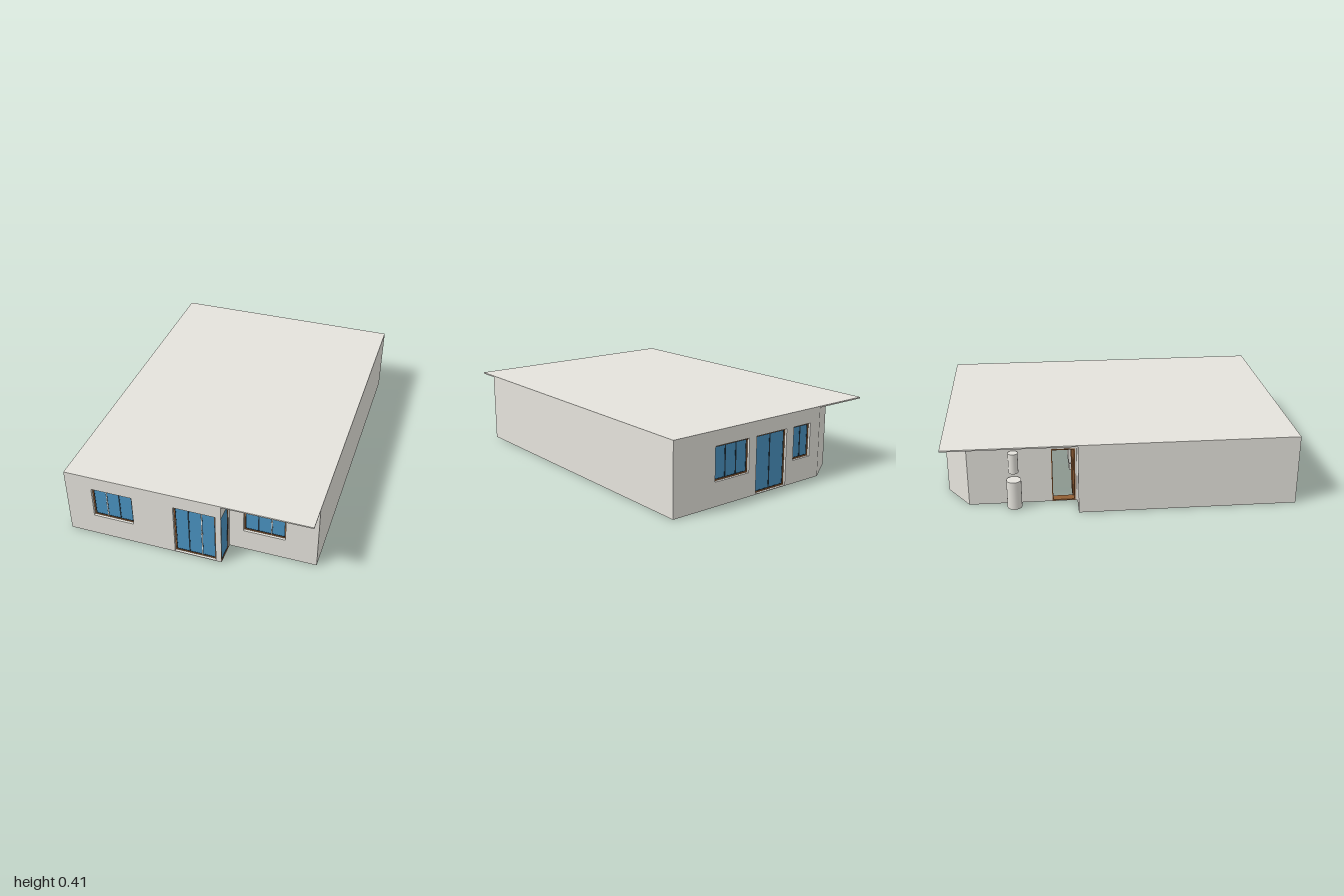
import * as THREE from 'three';

const mat = (name, color) => {
  const m = new THREE.MeshStandardMaterial({ color });
  m.name = name;
  return m;
};

export function createModel() {
  const house = new THREE.Group();
  house.name = 'house';
  const plaster = mat('plaster', 0xe5e3dc);
  const wood = mat('wood', 0x925f35);
  const glass = mat('blue glass', 0x4a92c0);
  const dark = mat('dark sash', 0x20323e);
  const white = mat('white', 0xf0f2f0);
  const red = mat('red', 0xb8432a);
  const H = 0.407;

  const box = (parent, name, m, w, h, d, x, y, z) => {
    const mesh = new THREE.Mesh(new THREE.BoxGeometry(w, h, d), m);
    mesh.name = name;
    mesh.position.set(x, y, z);
    parent.add(mesh);
  };
  const rect = (P, x0, y0, x1, y1) => {
    const p = new P();
    p.moveTo(x0, y0);
    p.lineTo(x1, y0);
    p.lineTo(x1, y1);
    p.lineTo(x0, y1);
    p.closePath();
    return p;
  };
  // Rectangular ring of bar width b, its back at z
  const ring = (parent, name, m, x0, y0, x1, y1, b, d, z) => {
    const s = rect(THREE.Shape, x0, y0, x1, y1);
    s.holes.push(rect(THREE.Path, x0 + b, y0 + b, x1 - b, y1 - b));
    const mesh = new THREE.Mesh(new THREE.ExtrudeGeometry(s, { depth: d, bevelEnabled: false }), m);
    mesh.name = name;
    mesh.position.z = z;
    parent.add(mesh);
  };

  // Timber frame with glazed sashes; "light" marks the gap with a pale strip
  function glazing(parent, o) {
    const g = new THREE.Group();
    g.name = o.y0 < 0.05 ? 'glassDoor' : 'window';
    g.position.z = -o.recess;
    parent.add(g);
    const b = 0.007;
    ring(g, 'timberFrame', wood, o.a, o.y0, o.b, o.y1, b, 0.018, -0.018);
    const w = (o.b - o.a - 2 * b) / o.n, mid = (o.y0 + o.y1) / 2;
    for (let i = 0; i < o.n; i++) {
      const x0 = o.a + b + i * w;
      ring(g, 'sash', dark, x0, o.y0 + b, x0 + w, o.y1 - b, 0.004, 0.014, -0.016);
      box(g, 'pane', glass, w - 0.008, o.y1 - o.y0 - 2 * b - 0.008, 0.01, x0 + w / 2, mid, -0.008);
    }
    if (o.light) {
      const x = o.a + b + o.light * w;
      box(g, 'paleStrip', white, 0.004, o.y1 - o.y0 - 2 * b, 0.017, x, mid, -0.009);
      box(g, 'handle', white, 0.01, 0.005, 0.02, x, mid, -0.008);
    }
  }

  // Closed leaf, or a framed opening with the leaf swung inwards at "hinge"
  function woodDoor(parent, o, t) {
    const w = o.b - o.a, mid = (o.y0 + o.y1) / 2, open = o.hinge !== undefined;
    const g = new THREE.Group();
    g.name = 'woodDoor';
    parent.add(g);
    if (open) ring(g, 'doorFrame', wood, o.a, o.y0, o.b, o.y1, 0.006, t + 0.006, -t - 0.003);
    const leaf = new THREE.Group();
    leaf.name = 'doorLeaf';
    leaf.position.set(open ? o.hinge : o.a, 0, open ? -t : -t / 2);
    leaf.rotation.y = open ? Math.PI / 2 : 0;
    g.add(leaf);
    const d = open ? 0.012 : t + 0.006;
    box(leaf, 'panel', wood, w, o.y1 - o.y0, d, w / 2, mid, 0);
    for (const s of [1, -1]) box(leaf, 'doorKnob', white, 0.012, 0.006, 0.012, w - 0.02, 0.16, s * (d / 2 + 0.005));
  }

  // Wall from p to q, outer face on the right-hand side of travel seen from above
  function wall(name, p, q, t, openings = [], h = H) {
    const dx = q[0] - p[0], dz = q[1] - p[1], len = Math.hypot(dx, dz);
    const g = new THREE.Group();
    g.name = name;
    g.position.set(p[0], 0, p[1]);
    g.rotation.y = Math.atan2(-dz, dx);
    const s = rect(THREE.Shape, 0, 0, len, h);
    for (const o of openings) s.holes.push(rect(THREE.Path, o.a, o.y0, o.b, o.y1));
    const mesh = new THREE.Mesh(new THREE.ExtrudeGeometry(s, { depth: t, bevelEnabled: false }), plaster);
    mesh.name = 'wallPanel';
    mesh.position.z = -t;
    g.add(mesh);
    for (const o of openings) o.n ? glazing(g, o) : woodDoor(g, o, t);
    house.add(g);
  }
  const win = (a, b, n, light) => ({ a, b, n, light, y0: 0.137, y1: 0.33, recess: 0.014 });
  const glassDoor = (a, b, n, light, recess = 0.014) => ({ a, b, n, light, y0: 0.004, y1: 0.33, recess });
  const door = (a, b, hinge) => ({ a, b, hinge, y0: 0.004, y1: 0.33 });

  // Roof slab
  box(house, 'roof', plaster, 1.42, 0.008, 2, 0, 0.411, 0);

  // Outer walls, one loop round the house
  const T = 0.045;
  wall('frontWall', [-0.71, 1], [0.176, 1], T, [win(0.157, 0.398, 3, 1), glassDoor(0.64, 0.882, 3, 2)]);
  wall('frontReturnWall', [0.205, 1], [0.205, 0.86], 0.029, [glassDoor(0.001, 0.121, 1, 0, 0.001)]);
  wall('frontBayWall', [0.205, 0.86], [0.71, 0.86], T, [win(0.083, 0.322, 3, 2)]);
  wall('leftSideWall', [0.71, 0.86], [0.71, -1], T);
  wall('backWall', [0.71, -1], [-0.36, -1], T,
    [win(0.28, 0.52, 3), glassDoor(0.575, 0.803, 2), win(0.86, 0.993, 2)]);
  wall('angledWall', [-0.36, -1], [-0.56, -0.87], T);
  wall('kitchenSideWall', [-0.56, -0.87], [-0.56, -0.25], T, [door(0.475, 0.61, 0.6)]);
  wall('porchWall', [-0.29, -0.25], [-0.71, -0.25], 0.03);
  wall('rightSideWall', [-0.71, -0.25], [-0.71, 1], T);

  // Inner walls and doors
  const t = 0.025;
  wall('bedroomSideWall', [0.22, 0.84], [0.22, 0.11], t);
  wall('bedroomBackWall', [0.2, 0.135], [0.67, 0.135], t);
  wall('middleRoomWall', [-0.18, 0.96], [-0.18, 0.14], t, [door(0.61, 0.745, 0.62)]);
  wall('hallWall', [-0.42, 0.165], [0.21, 0.165], t, [door(0.02, 0.16), door(0.43, 0.57)]);
  wall('lowWall', [-0.67, 0.14], [-0.42, 0.14], t, [], 0.11);
  wall('bathroomWall', [0.67, -0.21], [0.15, -0.21], t);
  wall('hallEndWall', [0.16, -0.19], [0.16, -0.28], t);
  wall('kitchenInnerWall', [0.16, -0.28], [-0.16, -0.28], t);
  wall('entranceWall', [-0.28, -0.11], [-0.28, -0.27], t);

  // Tanks by the kitchen wall
  const cylinder = (name, m, r, h, x, y, z) => {
    const mesh = new THREE.Mesh(new THREE.CylinderGeometry(r, r, h, 24), m);
    mesh.name = name;
    mesh.position.set(x, y + h / 2, z);
    house.add(mesh);
  };
  cylinder('floorTank', plaster, 0.042, 0.17, -0.603, 0, -0.61);
  cylinder('wallTank', plaster, 0.028, 0.12, -0.588, 0.21, -0.61);

  // Fittings inside
  box(house, 'kitchenCabinet', red, 0.008, 0.1, 0.11, -0.511, 0.16, -0.69);
  box(house, 'kitchenSplashback', red, 0.2, 0.1, 0.008, 0.42, 0.255, -0.214);
  box(house, 'bathroomCounter', red, 0.12, 0.02, 0.05, 0.5, 0.09, 0.08);
  box(house, 'basin', white, 0.08, 0.02, 0.045, 0.5, 0.11, 0.08);
  for (const [x, z] of [[0.36, 0.07], [-0.5, -0.17]]) {
    cylinder('toiletBowl', white, 0.024, 0.06, x, 0.01, z);
    box(house, 'toiletTank', white, 0.06, 0.06, 0.02, x, 0.1, z + Math.sign(z) * 0.025);
  }
  return house;
}
